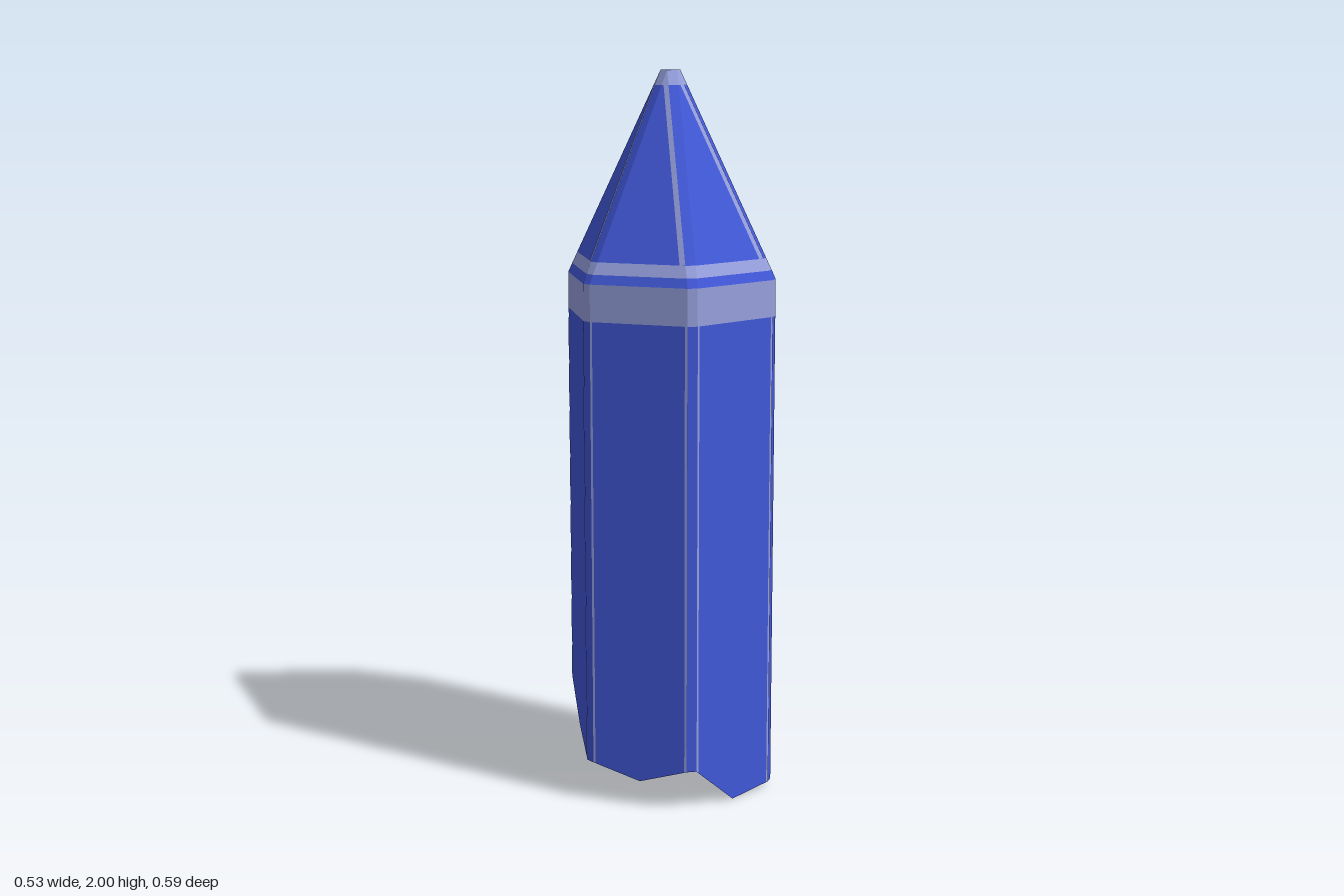
import * as THREE from 'three';

const HEIGHT = 2, SHOULDER = 1.445, CONE_BASE = 1.47, BAND_BOTTOM = 1.345;

// point at an angle (degrees from +z towards +x), with a sideways shift
function polar(deg, r, side, y) {
  const a = deg * Math.PI / 180;
  return new THREE.Vector3(
    Math.sin(a) * r + Math.cos(a) * side, y,
    Math.cos(a) * r - Math.sin(a) * side);
}

// hexagon with cut corners: two points per corner
function hexRing(y, scale = 1) {
  const pts = [];
  for (let k = 0; k < 6; k++) {
    for (const s of [-1, 1]) pts.push(polar(k * 60, 0.296 * scale, s * 0.0135, y));
  }
  return pts;
}

// adds the middle of every long side to a ring
function withMids(ring) {
  const pts = [];
  for (let k = 0; k < 6; k++) {
    const a = ring[2 * k], b = ring[2 * k + 1], c = ring[(2 * k + 2) % 12];
    pts.push(a, b, b.clone().lerp(c, 0.5));
  }
  return pts;
}

const lerpRing = (a, b, t) => a.map((p, i) => p.clone().lerp(b[i], t));

function band(low, high) {
  const tris = [];
  low.forEach((p, i) => {
    const j = (i + 1) % low.length;
    tris.push(p, low[j], high[j], p, high[j], high[i]);
  });
  return tris;
}

function fan(ring, centre, up) {
  const tris = [];
  ring.forEach((p, i) => {
    const q = ring[(i + 1) % ring.length];
    tris.push(...(up ? [p, q, centre] : [q, p, centre]));
  });
  return tris;
}

export function createModel() {
  const group = new THREE.Group();
  const blue = new THREE.MeshStandardMaterial({ color: 0x4158d8 });
  blue.name = 'crystalBlue';
  const pale = new THREE.MeshStandardMaterial({ color: 0x96a0de });
  pale.name = 'paleEdge';

  function add(name, tris, material) {
    const geo = new THREE.BufferGeometry().setFromPoints(tris);
    geo.computeVertexNormals();
    const mesh = new THREE.Mesh(geo, material);
    mesh.name = name;
    group.add(mesh);
  }

  // broken lower rim: heights at corners and at the middles of the sides
  const cornerY = [0.115, 0.015, 0.245, 0.28, 0.26, 0.11];
  const midY = [0, 0.215, 0.235, 0.18, 0.165, 0.072];
  const rim = withMids(hexRing(0));
  rim.forEach((p, i) => {
    const k = Math.floor(i / 3);
    p.y = i % 3 === 2 ? midY[k] : cornerY[k];
  });

  // shaft and fracture
  add('shaft', band(rim, withMids(hexRing(BAND_BOTTOM))), blue);
  add('brokenBase', fan(rim, new THREE.Vector3(0.15, 0.17, -0.09), false), blue);
  add('shoulderBand', band(hexRing(BAND_BOTTOM), hexRing(SHOULDER)), pale);

  // shoulder bevel and pointed top
  const base = hexRing(CONE_BASE, 0.96);
  const tip = [];
  for (let k = 0; k < 6; k++) {
    tip.push(polar(k * 60 - 30, 0.027, 0, HEIGHT), polar(k * 60 + 30, 0.027, 0, HEIGHT));
  }
  const rings = [0, 0.06, 0.925, 1].map(t => lerpRing(base, tip, t));
  add('shoulderBevel', band(hexRing(SHOULDER), base), blue);
  add('pointLowerBand', band(rings[0], rings[1]), pale);
  add('point', band(rings[1], rings[2]), blue);
  add('pointTipBand', band(rings[2], rings[3]), pale);
  add('tipCap', fan(tip, new THREE.Vector3(0, HEIGHT, 0), true), blue);

  // thin pale lines beside the corner bevels
  const shaftTop = hexRing(BAND_BOTTOM);
  for (let k = 0; k < 6; k++) {
    const n = (k + 1) % 6;
    const out = polar(k * 60 + 30, 0.001, 0, 0.0005);
    const quad = (a, b, c, d) => [a, b, c, a, c, d].map(p => p.clone().add(out));
    const along = (a, b, width) => a.clone().lerp(b, width / a.distanceTo(b));

    const lowA = rim[3 * k + 1], mid = rim[3 * k + 2], lowB = rim[3 * n];
    const topA = shaftTop[2 * k + 1], topB = shaftTop[2 * n];
    const inA = along(topA, topB, 0.006), inB = along(topB, topA, 0.007);
    const footA = lowA.clone().lerp(mid, 0.045), footB = lowB.clone().lerp(mid, 0.05);
    add('shaftEdgeLine', quad(lowA, footA, inA, topA), pale);
    add('shaftEdgeLine', quad(footB, lowB, topB, inB), pale);

    const c0 = rings[1][2 * n], c1 = rings[2][2 * n];
    const d0 = along(c0, rings[1][2 * k + 1], 0.016);
    const d1 = along(c1, rings[2][2 * k + 1], 0.014);
    add('pointEdgeLine', quad(d0, c0, c1, d1), pale);
  }
  return group;
}
